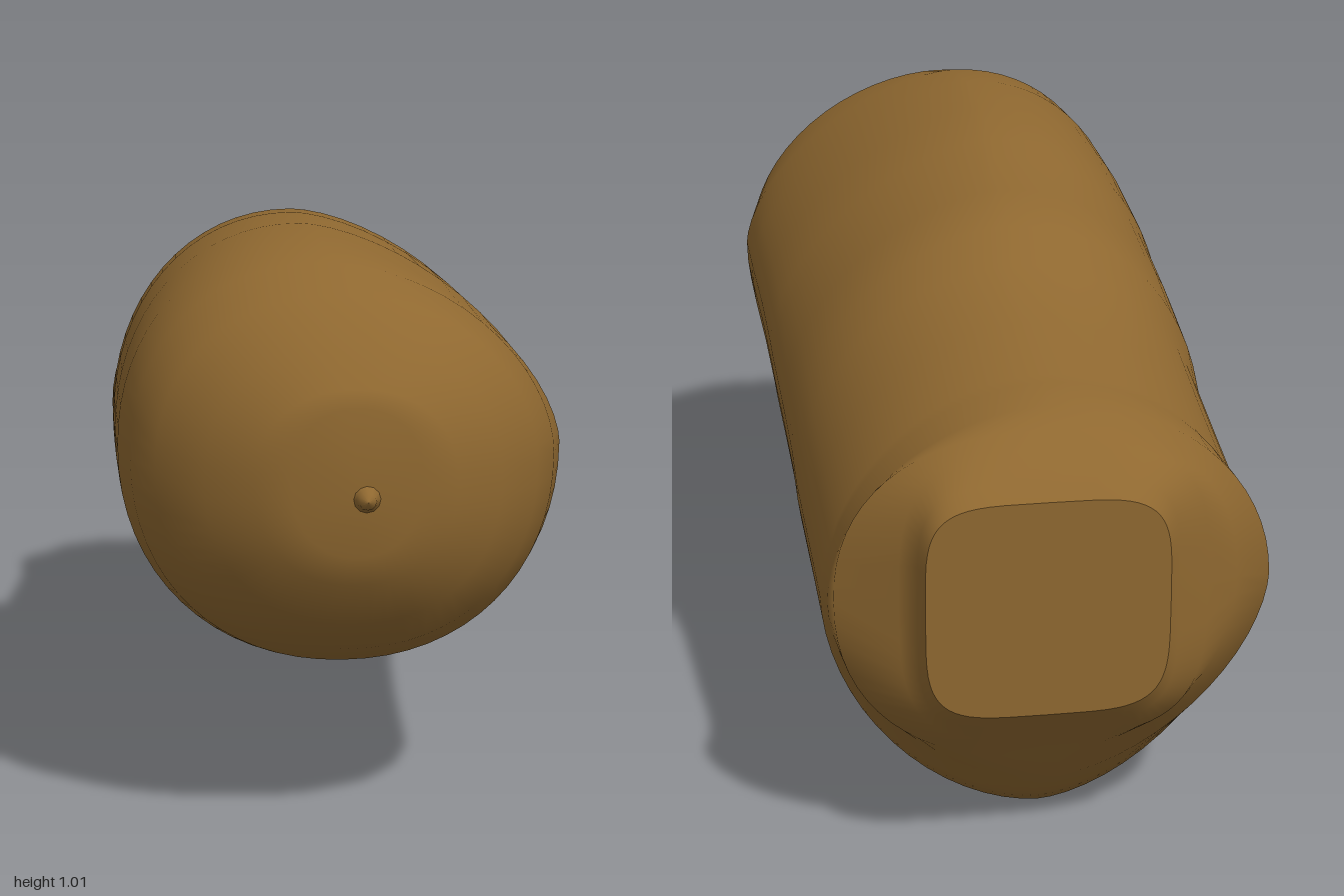
import * as THREE from 'three';

// Cross-sections from front to rear: z, -x side, +x side, bottom, top
const STATIONS = [
  [0.965, -0.11, 0.11, 0.51, 0.76],
  [0.95, -0.17, 0.17, 0.46, 0.79],
  [0.90, -0.25, 0.25, 0.38, 0.86],
  [0.83, -0.33, 0.32, 0.32, 0.93],
  [0.75, -0.37, 0.36, 0.28, 0.975],
  [0.65, -0.39, 0.385, 0.255, 1.00],
  [0.50, -0.392, 0.388, 0.235, 1.013],
  [0.30, -0.392, 0.388, 0.21, 1.01],
  [0.11, -0.39, 0.39, 0.182, 0.995],
  [0.06, -0.39, 0.39, 0.173, 0.975],
  [-0.12, -0.388, 0.39, 0.125, 0.96],
  [-0.28, -0.386, 0.39, 0.078, 0.938],
  [-0.35, -0.384, 0.39, 0.06, 0.885],
  [-0.55, -0.382, 0.39, 0.03, 0.845],
  [-0.73, -0.38, 0.39, 0.00, 0.81],
  [-0.76, -0.38, 0.39, 0.03, 0.807],
  [-0.84, -0.38, 0.39, 0.10, 0.795],
  [-0.89, -0.31, 0.385, 0.17, 0.77],
  [-0.93, -0.25, 0.28, 0.22, 0.745],
  [-0.975, -0.19, 0.255, 0.27, 0.71],
  [-1.0, -0.17, 0.245, 0.30, 0.685],
];
const SIDES = 64;

// Lopsided rounded outline, with its own curvature in each quadrant
function section([z, left, right, bottom, top]) {
  const mix = THREE.MathUtils.lerp;
  const ease = THREE.MathUtils.smoothstep(z, -0.7, 0.4);
  const end = 1 - THREE.MathUtils.smoothstep(z, -0.98, -0.86);
  const nose = THREE.MathUtils.smoothstep(z, 0.6, 0.95);
  const peak = (left + right) / 2 - 0.06 * ease * (1 - nose);
  const mid = bottom + (top - bottom) * 0.52;
  const ring = [];
  for (let j = 0; j < SIDES; j++) {
    const a = (j / SIDES) * Math.PI * 2, c = Math.cos(a), s = Math.sin(a);
    const upper = s >= 0;
    let n = upper
      ? (c > 0 ? mix(1.9, 1.58, ease) : mix(2, 2.1, ease))
      : (c > 0 ? mix(1.8, 2.1, ease) : mix(1.68, 2.1, ease));
    n = mix(mix(n, 2.2, nose), 4.5, end);
    const cx = upper ? peak : (left + right) / 2;
    const x = cx + Math.sign(c) * Math.pow(Math.abs(c), 2 / n) * (c > 0 ? right - cx : cx - left);
    const y = mid + Math.sign(s) * Math.pow(Math.abs(s), 2 / n) * (upper ? top - mid : mid - bottom);
    ring.push(new THREE.Vector3(x, y, z));
  }
  return ring;
}

function indexed(pos, idx) {
  const g = new THREE.BufferGeometry();
  g.setAttribute('position', new THREE.Float32BufferAttribute(pos, 3));
  g.setIndex(idx);
  g.computeVertexNormals();
  return g;
}

function bodyGeometry(rings) {
  const pos = [], idx = [];
  rings.forEach((ring) => ring.forEach((p) => pos.push(p.x, p.y, p.z)));
  for (let i = 0; i < rings.length - 1; i++) {
    for (let j = 0; j < SIDES; j++) {
      const a = i * SIDES + j, b = i * SIDES + ((j + 1) % SIDES);
      idx.push(a, a + SIDES, b, b, a + SIDES, b + SIDES);
    }
  }
  // Softly closed nose
  const centre = pos.length / 3;
  pos.push(0.005, 0.62, 0.972);
  for (let j = 0; j < SIDES; j++) idx.push(centre, j, (j + 1) % SIDES);
  return indexed(pos, idx);
}

// Flat fan closing the rear opening
function capGeometry(ring) {
  const pos = [0.035, 0.5, ring[0].z], idx = [];
  ring.forEach((p) => pos.push(p.x, p.y, p.z));
  for (let j = 0; j < SIDES; j++) idx.push(0, 1 + ((j + 1) % SIDES), 1 + j);
  return indexed(pos, idx);
}

export function createModel() {
  const group = new THREE.Group();
  const brown = new THREE.MeshStandardMaterial({ color: 0x8f6830 });
  brown.name = 'golden brown';
  const add = (name, geometry) => {
    const mesh = new THREE.Mesh(geometry, brown);
    mesh.name = name;
    group.add(mesh);
    return mesh;
  };

  const rings = STATIONS.map(section);
  add('body', bodyGeometry(rings));
  add('rearCap', capGeometry(rings[rings.length - 1]));

  // Small nub on the nose
  const profile = [[0.028, 0], [0.018, 0.012], [0.014, 0.028], [0, 0.036]]
    .map(([r, h]) => new THREE.Vector2(r, h));
  const nub = add('noseNub', new THREE.LatheGeometry(profile, 12));
  nub.rotation.x = Math.PI / 2;
  nub.position.set(0.015, 0.61, 0.964);

  return group;
}
